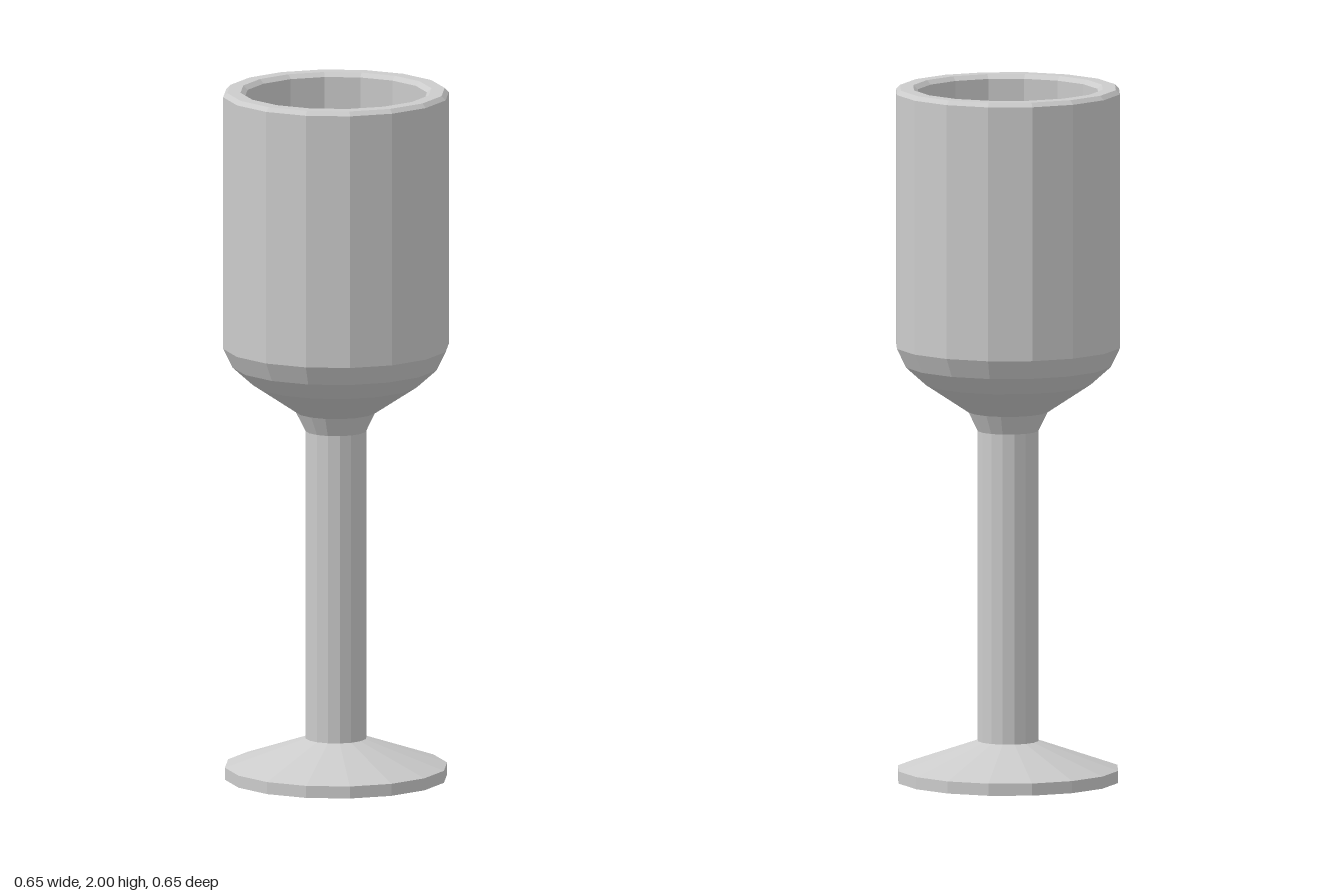
import * as THREE from 'three';

const SIDES = 16;
const material = new THREE.MeshStandardMaterial({ color: 0xcccccc, flatShading: true });

// Turns a [radius, height] profile into a faceted, named part
function turned(name, profile) {
  const points = profile.map(([r, y]) => new THREE.Vector2(r, y));
  const mesh = new THREE.Mesh(new THREE.LatheGeometry(points, SIDES), material);
  mesh.name = name;
  return mesh;
}

export function createModel() {
  const goblet = new THREE.Group();
  goblet.name = 'goblet';

  // Flat underside, short rim and sloping top up to the stem
  goblet.add(turned('foot', [[0, 0], [0.32, 0], [0.32, 0.035], [0.088, 0.115]]));

  // Straight stem that meets the foot and bowl edge to edge
  goblet.add(turned('stem', [[0.088, 0.115], [0.088, 1.01]]));

  // Outer wall, bevelled rim, then the inner wall down to a flat floor
  goblet.add(turned('bowl', [
    [0.088, 1.01], [0.115, 1.065], [0.24, 1.148], [0.298, 1.2], [0.325, 1.255],
    [0.325, 1.988], [0.313, 2], [0.275, 2], [0.262, 1.988],
    [0.262, 1.275], [0.242, 1.23], [0.192, 1.18], [0.153, 1.15], [0, 1.15],
  ]));

  return goblet;
}
